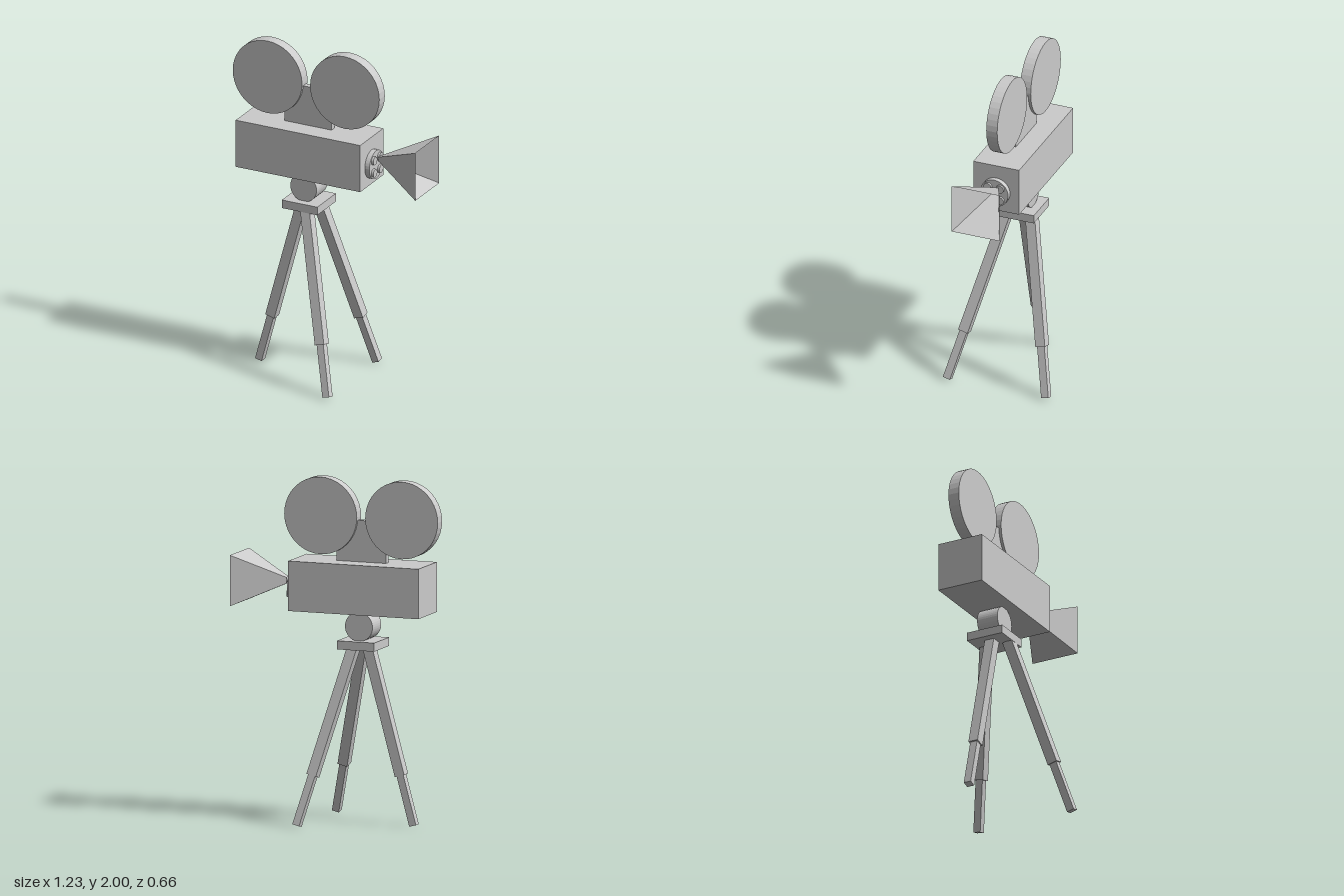
import * as THREE from 'three';

const ZC = -0.0375; // centre plane of the camera

export function createModel() {
  const model = new THREE.Group();
  model.name = 'filmCameraOnTripod';
  const grey = new THREE.MeshStandardMaterial({ color: 0xcccccc, flatShading: true });
  const thin = new THREE.MeshStandardMaterial({ color: 0xcccccc, flatShading: true, side: THREE.DoubleSide });

  const add = (name, geometry, x, y, z, material = grey, parent = model) => {
    const mesh = new THREE.Mesh(geometry, material);
    mesh.name = name;
    mesh.position.set(x, y, z);
    parent.add(mesh);
    return mesh;
  };
  const box = (w, h, d) => new THREE.BoxGeometry(w, h, d);
  const discZ = (r, depth) => new THREE.CylinderGeometry(r, r, depth, 40).rotateX(Math.PI / 2);
  const discX = (r, depth, sides) => new THREE.CylinderGeometry(r, r, depth, sides).rotateZ(Math.PI / 2);

  // Camera body, reel bracket and the two film reels
  add('body', box(0.805, 0.29, 0.285), -0.1375, 1.375, ZC);
  add('reelBracket', box(0.305, 0.25, 0.036), -0.1375, 1.635, ZC);
  add('rearReel', discZ(0.224, 0.068), -0.392, 1.777, ZC);
  add('frontReel', discZ(0.224, 0.068), 0.108, 1.777, ZC);

  // Lens turret with four small lenses
  add('lensTurret', discX(0.086, 0.04, 32), 0.275, 1.355, ZC);
  for (const sy of [-1, 1]) {
    for (const sz of [-1, 1]) {
      add('lens', discX(0.025, 0.03, 20), 0.293, 1.355 + sy * 0.038, ZC + sz * 0.038);
    }
  }

  // Open square hood flaring out from the lens
  const hood = new THREE.CylinderGeometry(0.01 * Math.SQRT2, 0.148 * Math.SQRT2, 0.315, 4, 1, true)
    .rotateY(Math.PI / 4).rotateZ(Math.PI / 2);
  add('lensHood', hood, 0.4575, 1.388, -0.055, thin);

  // Tripod head
  add('tripodPivot', discZ(0.085, 0.133), -0.14, 1.15, -0.034);
  add('tripodPlate', box(0.23, 0.05, 0.23), -0.14, 1.045, -0.035);

  // Telescopic legs: [name, top, foot]
  const up = new THREE.Vector3(0, 1, 0);
  const legs = [
    ['rearLeg', [-0.175, 1.03, -0.03], [-0.452, 0.006, -0.028]],
    ['frontLegLeft', [-0.11, 1.03, 0.045], [0.16, 0.01, 0.308]],
    ['frontLegRight', [-0.11, 1.03, -0.102], [0.16, 0.01, -0.304]],
  ];
  for (const [name, a, b] of legs) {
    const top = new THREE.Vector3(...a);
    const foot = new THREE.Vector3(...b);
    const length = top.distanceTo(foot);
    const leg = new THREE.Group();
    leg.name = name;
    leg.position.copy(foot);
    leg.quaternion.setFromUnitVectors(up, top.sub(foot).normalize());
    const split = length * 0.28;
    add('upperSection', box(0.06, length - split, 0.06), 0, (length + split) / 2, 0, grey, leg);
    add('lowerSection', box(0.043, split + 0.02, 0.045), 0, (split + 0.02) / 2, 0, grey, leg);
    model.add(leg);
  }
  return model;
}
